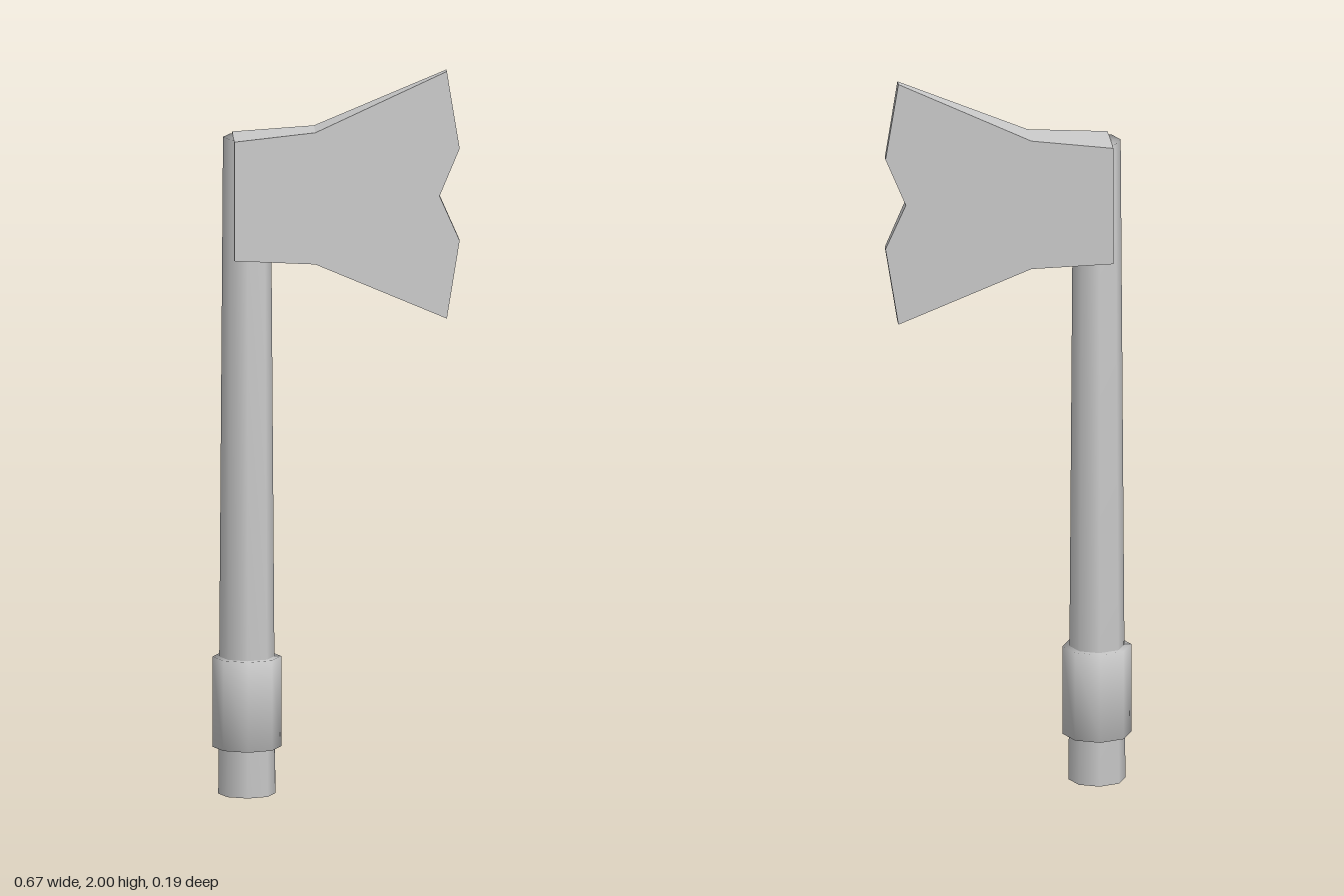
import * as THREE from 'three';

const SHAFT_X = -0.245;

export function createModel() {
  const group = new THREE.Group();
  const grey = new THREE.MeshStandardMaterial({ color: 0xcccccc });
  grey.name = 'light grey';

  function addPart(name, geometry, x = 0) {
    const mesh = new THREE.Mesh(geometry, grey);
    mesh.name = name;
    mesh.position.x = x;
    group.add(mesh);
  }

  // Closed eight-sided solid with normals blended over its rims
  function octagonal(profile) {
    return new THREE.LatheGeometry(profile.map(([r, y]) => new THREE.Vector2(r, y)), 8);
  }

  // Tapered shaft, whose foot shows below the grip collar
  addPart('handle', octagonal([[0, 0], [0.078, 0], [0.065, 1.82], [0, 1.82]]), SHAFT_X);
  addPart('gripCollar', octagonal([[0, 0.13], [0.094, 0.13], [0.094, 0.38], [0, 0.38]]), SHAFT_X);

  // Flared axe head with a notched cutting edge
  const outline = [
    [-0.282, 1.49], [-0.06, 1.475], [0.3, 1.315], [0.335, 1.53], [0.28, 1.655],
    [0.335, 1.785], [0.3, 2], [-0.06, 1.84], [-0.282, 1.82],
  ];
  const shape = new THREE.Shape(outline.map(([x, y]) => new THREE.Vector2(x, y)));
  const head = new THREE.ExtrudeGeometry(shape, { depth: 1, bevelEnabled: false });

  // Thin the head evenly from its back to the cutting edge
  const pos = head.attributes.position;
  for (let i = 0; i < pos.count; i++) {
    const t = (pos.getX(i) + 0.282) / 0.617;
    const half = THREE.MathUtils.lerp(0.08, 0.011, t);
    pos.setZ(i, pos.getZ(i) > 0.5 ? half : -half);
  }
  head.computeVertexNormals();
  addPart('axeHead', head);

  return group;
}
